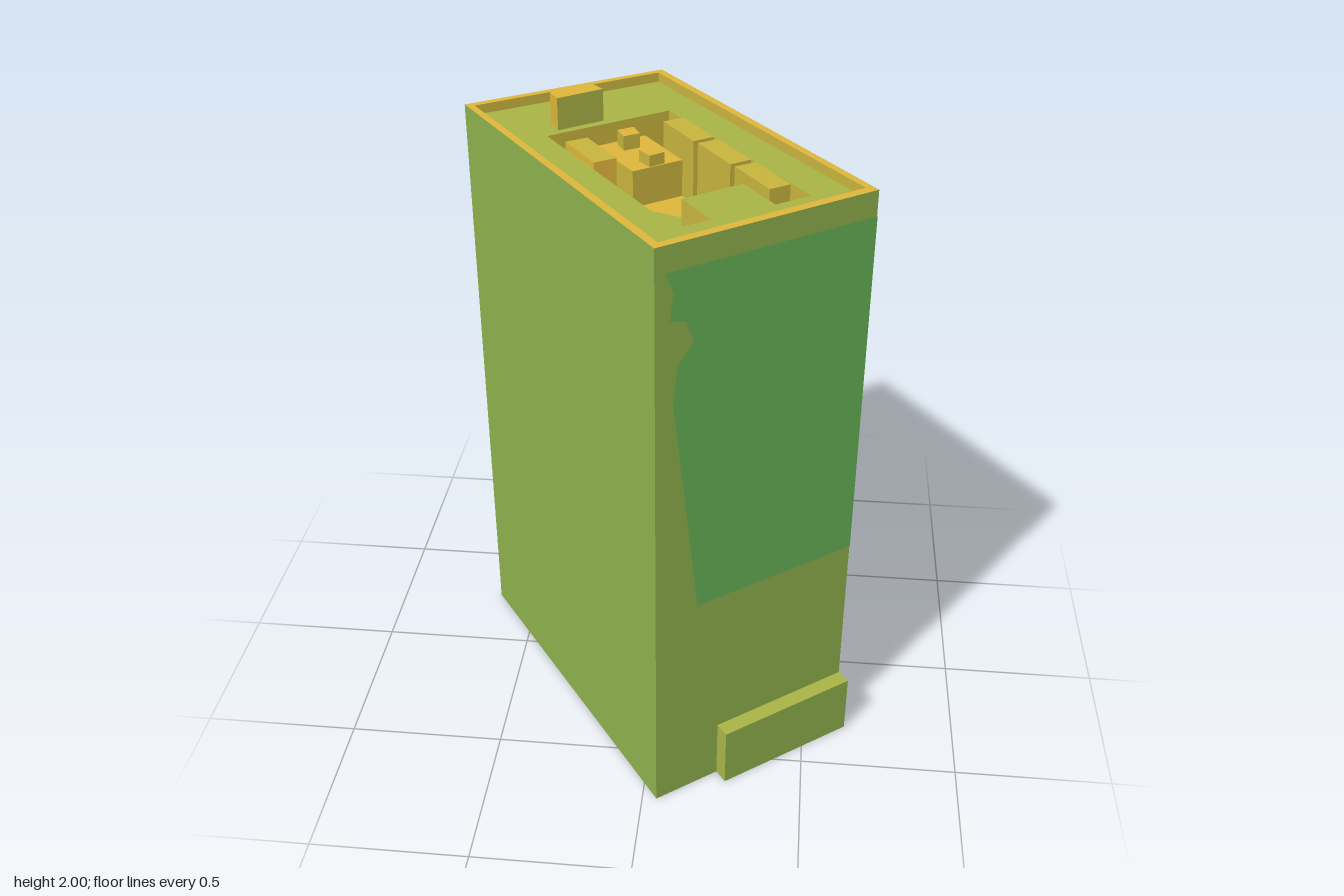
import * as THREE from 'three';

const mat = (name, color, side = THREE.FrontSide) => {
  const m = new THREE.MeshStandardMaterial({ color, side });
  m.name = name;
  return m;
};

export function createModel() {
  const green = mat('leaf green', 0x8eb04c);
  const olive = mat('olive', 0xa9b446);
  const gold = mat('gold', 0xdfb63a);
  const ochre = mat('ochre', 0xc8b43e);
  const brown = mat('red brown', 0xe0702e);
  const paint = mat('mural green', 0x67b256, THREE.DoubleSide);

  const model = new THREE.Group();
  model.name = 'building';

  const part = (name, parent = model) => {
    const g = new THREE.Group();
    g.name = name;
    parent.add(g);
    return g;
  };
  const add = (parent, name, geometry, material) => {
    const m = new THREE.Mesh(geometry, material);
    m.name = name;
    parent.add(m);
  };

  // Vertical wall from plan point p to q, facing (-dz, dx)
  const wall = (parent, name, p, q, y0, y1, material) => {
    const g = new THREE.BufferGeometry();
    g.setAttribute('position', new THREE.Float32BufferAttribute([
      p[0], y0, p[1], q[0], y0, q[1], q[0], y1, q[1], p[0], y1, p[1]], 3));
    g.setIndex([0, 1, 2, 0, 2, 3]);
    g.computeVertexNormals();
    add(parent, name, g, material);
  };
  const walls = (parent, name, pts, y0, y1, mats) => pts.forEach((p, i) =>
    wall(parent, name, p, pts[(i + 1) % pts.length], y0, y1, Array.isArray(mats) ? mats[i] : mats));

  // Horizontal face, up or down, with an optional hole
  const cap = (parent, name, pts, y, material, hole = null, down = false) => {
    const s = down ? 1 : -1;
    const flat = list => list.map(([x, z]) => new THREE.Vector2(x, s * z));
    const shape = new THREE.Shape(flat(pts));
    if (hole) shape.holes.push(new THREE.Path(flat(hole)));
    const g = new THREE.ShapeGeometry(shape).rotateX(s * Math.PI / 2).translate(0, y, 0);
    add(parent, name, g, material);
  };
  const prism = (name, pts, y0, y1, sides, top, parent = model) => {
    const g = part(name, parent);
    walls(g, name + 'Side', pts, y0, y1, sides);
    cap(g, name + 'Top', pts, y1, top);
    cap(g, name + 'Base', pts, y0, brown, null, true);
  };

  // Tower shell with parapet
  const H = 1.93, ROOF = 1.9, FLOOR = 1.7;
  const A = [-0.643, -0.25], B = [0.045, 0.709], C = [0.611, 0.285];
  const K = [0.385, -0.02], D = [-0.072, -0.635];
  const plan = [A, B, C, K, D];
  const inner = [[-0.61, -0.243], [0.05, 0.672], [0.575, 0.275], [-0.08, -0.603]];
  const tower = part('tower');
  walls(tower, 'towerWall', plan, 0, H, [green, green, green, olive, green]);
  cap(tower, 'underside', plan, 0, brown, null, true);
  cap(tower, 'parapetTop', plan, H, gold, inner);
  walls(tower, 'parapetInside', [...inner].reverse(), ROOF, H, ochre);

  // Roof with a sunken U-shaped plant well
  const well = [[-0.36, -0.09], [0.08, 0.52], [0.17, 0.457], [0.08, 0.33],
    [0.24, 0.21], [0.335, 0.343], [0.43, 0.273], [-0.02, -0.34]];
  const roof = part('roof');
  cap(roof, 'roofDeck', inner, ROOF, olive, well);
  walls(roof, 'wellWall', [...well].reverse(), FLOOR, ROOF, ochre);
  cap(roof, 'wellFloor', well, FLOOR, olive);

  // Low annexes at the foot
  prism('frontAnnex', [[0.226, 0.571], [0.257, 0.613], [0.641, 0.325], C], 0, 0.205,
    [olive, green, green, green], olive);
  prism('sideAnnex', [D, K, [0.47, -0.09], [0.035, -0.707]], 0, 0.28,
    [olive, ochre, olive, green], green);

  // Rooftop plant: four plan corners, base and top heights
  const plant = part('rooftopPlant');
  const unit = (name, pts, y0, y1, top = gold, side = ochre) =>
    prism(name, pts, y0, y1, side, top, plant);
  unit('stairHouse', [[-0.365, -0.19], [-0.335, -0.14], [-0.21, -0.235], [-0.25, -0.28]],
    ROOF, 2, gold, [gold, olive, gold, olive]);
  unit('mainBlock', [[-0.22, -0.11], [-0.085, 0.07], [0.05, -0.03], [-0.08, -0.215]], FLOOR, 1.865);
  unit('lowBlock', [[-0.085, 0.07], [0.07, 0.28], [0.205, 0.185], [0.05, -0.03]], FLOOR, 1.75, olive);
  cap(plant, 'lowBlockPanel', [[-0.08, 0.07], [0.203, 0.182], [0.05, -0.027]], 1.753, gold);
  unit('backVent', [[-0.155, -0.135], [-0.13, -0.085], [-0.085, -0.115], [-0.11, -0.165]], 1.865, 1.91);
  unit('frontVent', [[-0.075, -0.008], [-0.04, 0.033], [0, 0], [-0.025, -0.042]], 1.8, 1.9);
  unit('rightCabinet', [[-0.295, -0.025], [-0.19, 0.125], [-0.13, 0.085], [-0.235, -0.065]],
    FLOOR, 1.91, ochre, gold);
  unit('longDuct', [[-0.07, 0.195], [0.135, 0.482], [0.168, 0.458], [-0.02, 0.155]], FLOOR, 1.74, ochre);
  for (let i = 0; i < 3; i++) {
    const x = i * 0.118, z = i * 0.166;
    unit('leftCabinet' + (i + 1), [[-0.025, -0.22], [0.08, -0.067], [0.136, -0.108], [0.034, -0.258]]
      .map(p => [p[0] + x, p[1] + z]), FLOOR, 1.91, ochre);
  }

  // Painted mural: points are [plan coordinate, height], laid on the wall p-q
  const mural = part('mural');
  const panel = (name, p, q, axis, pts) => {
    const g = new THREE.ShapeGeometry(new THREE.Shape(pts.map(a => new THREE.Vector2(...a))));
    const pos = g.attributes.position;
    const dx = q[0] - p[0], dz = q[1] - p[1], len = Math.hypot(dx, dz);
    for (let i = 0; i < pos.count; i++) {
      const t = (pos.getX(i) - p[axis]) / (q[axis] - p[axis]);
      pos.setXYZ(i, p[0] + dx * t - dz / len * 0.002, pos.getY(i), p[1] + dz * t + dx / len * 0.002);
    }
    g.computeVertexNormals();
    add(mural, name, g, paint);
  };
  const TOP = 1.853, LOW = 0.73;
  panel('muralFront', B, C, 0, [[0.07, TOP], [0.09, 1.79], [0.08, 1.71], [0.12, 1.7], [0.14, 1.63],
    [0.1, 1.57], [0.09, 1.45], [0.16, LOW], [C[0], LOW], [C[0], TOP]]);
  panel('muralCorner', C, K, 1, [[C[1], TOP], [C[1], LOW], [K[1], LOW], [K[1], TOP]]);
  panel('muralSide', K, D, 1, [[K[1], TOP], [K[1], LOW], [-0.155, LOW], [-0.15, 0.805], [-0.22, 0.8],
    [-0.25, 0.78], [-0.27, 0.805], [-0.39, 0.81], [-0.43, 0.86], [-0.4, 0.91], [-0.43, 0.94], [-0.4, 0.97],
    [-0.44, 1.13], [-0.41, 1.21], [-0.45, 1.3], [-0.41, 1.39], [-0.45, 1.48], [-0.4, 1.55],
    [-0.47, 1.58], [-0.45, 1.63], [-0.48, 1.68], [-0.44, 1.76], [-0.48, 1.82], [-0.465, TOP]]);

  return model;
}
